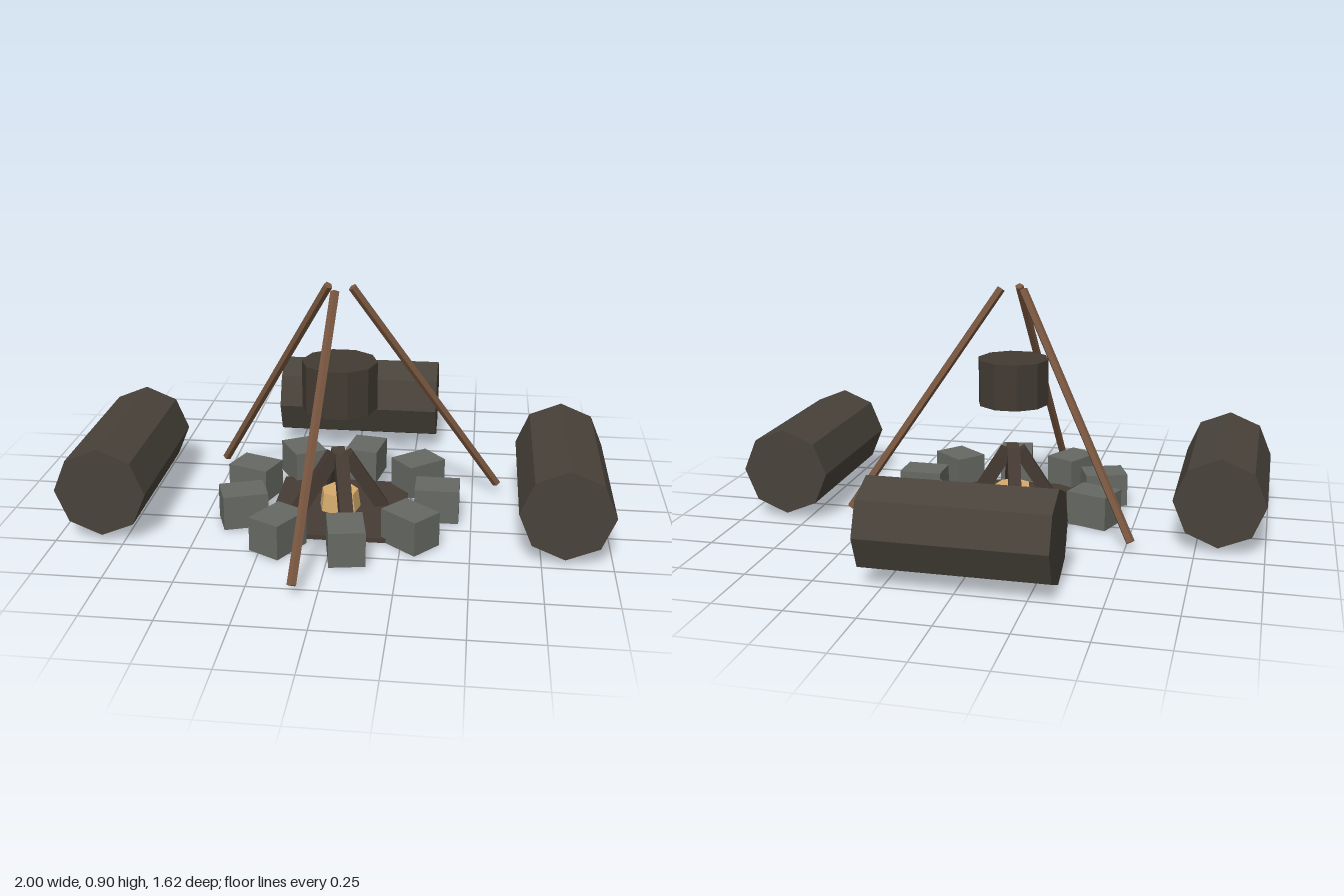
import * as THREE from 'three';

const CZ = 0.145; // fire pit centre along z

function mat(name, color) {
  const m = new THREE.MeshStandardMaterial({ color, flatShading: true });
  m.name = name;
  return m;
}

export function createModel() {
  const model = new THREE.Group();
  model.name = 'campfire';
  const bark = mat('dark bark', 0x48423a);
  const iron = mat('pot brown', 0x423b33);
  const ash = mat('ash bed', 0x463c35);
  const kindling = mat('kindling', 0x453a32);
  const pole = mat('pole wood', 0x795740);
  const stone = mat('stone grey', 0x666963);
  const ember = mat('ember tan', 0xd6ab6c);

  function add(name, geometry, material, x, y, z) {
    const mesh = new THREE.Mesh(geometry, material);
    mesh.name = name;
    mesh.position.set(x, y, z);
    model.add(mesh);
    return mesh;
  }

  // Stretch a vertical geometry's mesh between two points
  function between(name, makeGeometry, material, a, b) {
    const dir = b.clone().sub(a);
    const mid = a.clone().add(b).multiplyScalar(0.5);
    const mesh = add(name, makeGeometry(dir.length()), material, mid.x, mid.y, mid.z);
    mesh.quaternion.setFromUnitVectors(new THREE.Vector3(0, 1, 0), dir.normalize());
    return mesh;
  }

  // Three seat logs with eight sides
  const logGeometry = new THREE.CylinderGeometry(0.168, 0.168, 0.666, 8);
  logGeometry.rotateX(Math.PI / 2);
  add('leftLog', logGeometry, bark, 0.832, 0.193, CZ);
  add('rightLog', logGeometry, bark, -0.832, 0.193, CZ);
  add('backLog', logGeometry, bark, 0, 0.193, -0.643).rotation.y = Math.PI / 2;

  // Ring of nine stones
  const stoneGeometry = new THREE.BoxGeometry(0.166, 0.13, 0.13);
  for (let i = 0; i < 9; i++) {
    const a = (i / 9) * Math.PI * 2;
    add('stone', stoneGeometry, stone, 0.37 * Math.cos(a), 0.076, CZ - 0.37 * Math.sin(a)).rotation.y = a;
  }

  // Square ash bed and embers
  add('ashBed', new THREE.BoxGeometry(0.5, 0.018, 0.5), ash, 0, 0.02, CZ);
  add('embers', new THREE.CylinderGeometry(0.07, 0.08, 0.072, 7), ember, 0, 0.064, CZ);

  // Four kindling sticks leaning together
  for (let i = 0; i < 4; i++) {
    const a = -0.28 + (i * Math.PI) / 2;
    const pivot = new THREE.Group();
    pivot.name = 'kindlingStick';
    pivot.position.set(0, 0, CZ);
    pivot.rotation.y = -a;
    const stick = new THREE.Mesh(new THREE.BoxGeometry(0.05, 0.27, 0.05), kindling);
    stick.name = 'stick';
    stick.position.set(0.096, 0.131, 0);
    stick.rotation.z = 0.56;
    pivot.add(stick);
    model.add(pivot);
  }

  // Hanging ten-sided pot
  add('pot', new THREE.CylinderGeometry(0.14, 0.14, 0.18, 10), iron, 0, 0.526, CZ).rotation.y = Math.PI / 2;

  // Tripod poles
  const poles = [
    ['leftPole', 0.595, -0.11, 0.045, 0.127],
    ['rightPole', -0.523, -0.247, -0.045, 0.112],
    ['frontPole', -0.083, 0.795, -0.01, 0.198],
  ];
  for (const [name, x0, z0, x1, z1] of poles) {
    between(name, (h) => new THREE.CylinderGeometry(0.017, 0.017, h, 5), pole,
      new THREE.Vector3(x0, 0.043, z0), new THREE.Vector3(x1, 0.891, z1));
  }
  return model;
}
